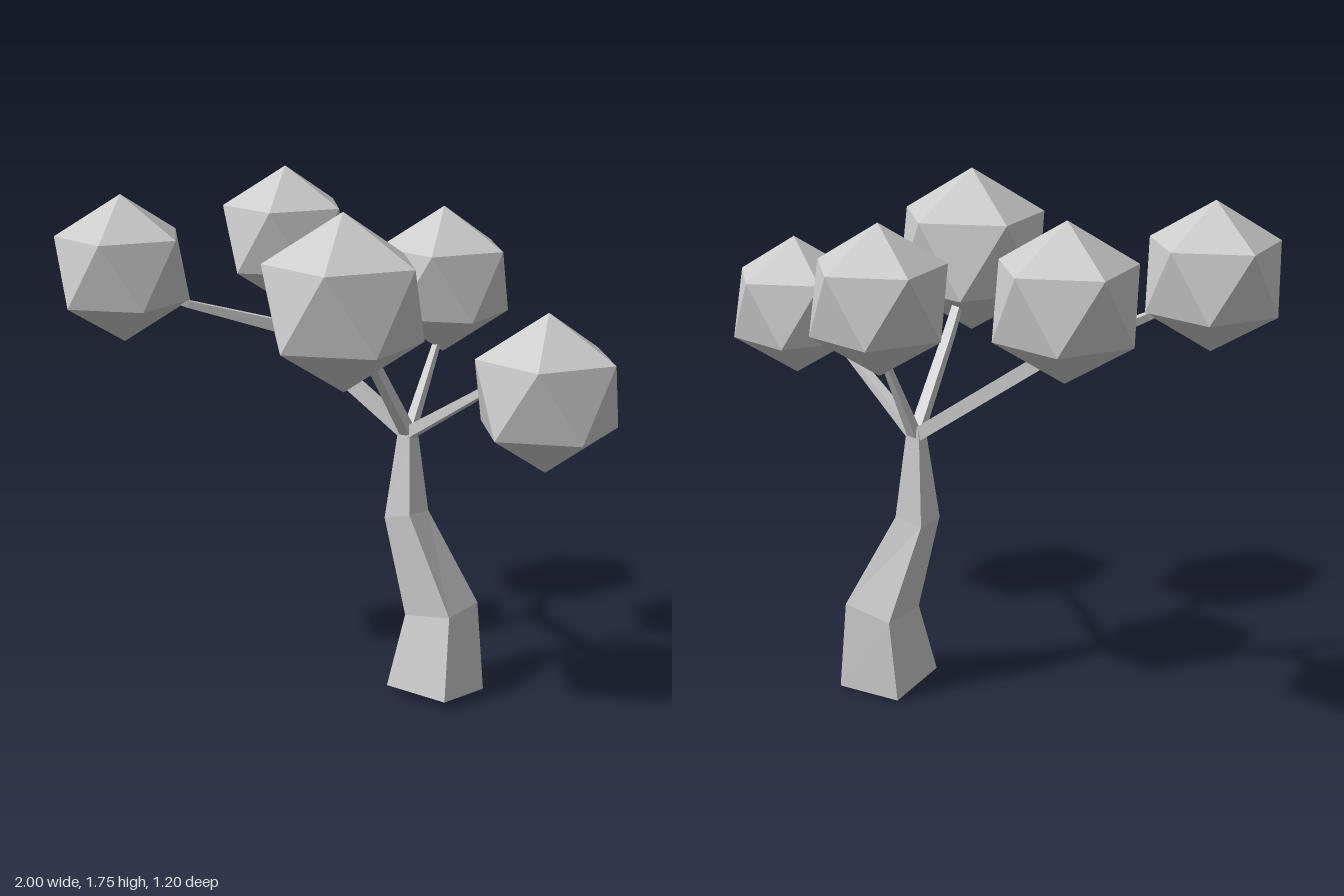
import * as THREE from 'three';

const material = new THREE.MeshStandardMaterial({ color: 0xcccccc, flatShading: true });

// Skin over four-cornered rings (corners counter-clockwise seen from the tip), capped at both ends
function loft(rings) {
  const index = [];
  for (let i = 0; i < rings.length - 1; i++) {
    for (let j = 0; j < 4; j++) {
      const a = i * 4 + j, b = i * 4 + (j + 1) % 4;
      index.push(a, b, b + 4, a, b + 4, a + 4);
    }
  }
  const t = (rings.length - 1) * 4;
  index.push(0, 2, 1, 0, 3, 2, t, t + 1, t + 2, t, t + 2, t + 3);
  const geometry = new THREE.BufferGeometry();
  geometry.setAttribute('position', new THREE.Float32BufferAttribute(rings.flat(2), 3));
  geometry.setIndex(index);
  const flat = geometry.toNonIndexed();
  flat.computeVertexNormals();
  return flat;
}

// Square tapering limb along points [x, y, z, width]
function limb(path) {
  const pts = path.map(p => new THREE.Vector3(p[0], p[1], p[2]));
  const up = new THREE.Vector3(0, 1, 0);
  const rings = pts.map((p, i) => {
    const dir = pts[Math.min(i + 1, pts.length - 1)].clone().sub(pts[Math.max(i - 1, 0)]).normalize();
    const side = dir.clone().cross(up).normalize();
    const normal = dir.clone().cross(side);
    const h = path[i][3] / 2;
    return [[-1, -1], [1, -1], [1, 1], [-1, 1]].map(([s, n]) =>
      p.clone().addScaledVector(side, s * h).addScaledVector(normal, n * h).toArray());
  });
  return loft(rings);
}

export function createModel() {
  const tree = new THREE.Group();
  tree.name = 'tree';
  const add = (name, geometry) => {
    const mesh = new THREE.Mesh(geometry, material);
    mesh.name = name;
    tree.add(mesh);
    return mesh;
  };

  // Crooked trunk: front left, front right, back right, back left corners per ring
  add('trunk', loft([
    [[0.08, 0.035, -0.02], [0.32, 0.03, 0.005], [0.345, 0, -0.235], [0.105, 0.005, -0.26]],
    [[0.12, 0.285, -0.075], [0.30, 0.31, -0.06], [0.315, 0.315, -0.24], [0.135, 0.285, -0.26]],
    [[0.04, 0.625, -0.07], [0.14, 0.65, -0.065], [0.15, 0.64, -0.18], [0.05, 0.62, -0.185]],
    [[0.07, 0.905, -0.1], [0.12, 0.905, -0.098], [0.125, 0.915, -0.15], [0.073, 0.91, -0.152]],
    [[0.075, 0.945, -0.105], [0.12, 0.945, -0.103], [0.12, 0.945, -0.148], [0.077, 0.945, -0.15]],
  ]));

  // Branches reaching into the foliage
  const branches = {
    leftBranch: [[0.1, 0.92, -0.125, 0.045], [-0.37, 1.245, -0.11, 0.045]],
    leftFrontFork: [[-0.35, 1.235, -0.11, 0.045], [-0.6, 1.345, 0.16, 0.024], [-0.67, 1.38, 0.22, 0.02]],
    leftBackFork: [[-0.36, 1.235, -0.1, 0.045], [-0.45, 1.33, -0.22, 0.03], [-0.5, 1.4, -0.3, 0.025]],
    rightBranch: [[0.1, 0.92, -0.125, 0.04], [0.48, 1.155, 0.04, 0.025], [0.68, 1.185, 0.18, 0.02]],
    frontBranch: [[0.1, 0.92, -0.125, 0.04], [0.098, 1.22, 0.12, 0.032], [0.11, 1.36, 0.25, 0.025]],
    backBranch: [[0.1, 0.92, -0.13, 0.035], [0.12, 1.21, -0.29, 0.02], [0.125, 1.32, -0.31, 0.02]],
  };
  for (const [name, path] of Object.entries(branches)) add(name, limb(path));

  // Foliage: icosahedra turned to stand on a vertex, [x, y, z, radius]
  const crown = new THREE.IcosahedronGeometry(1, 0);
  crown.rotateZ(-Math.atan(2 / (1 + Math.sqrt(5))));
  const crowns = {
    leftFrontFoliage: [-0.775, 1.47, 0.285, 0.25],
    leftBackFoliage: [-0.555, 1.505, -0.39, 0.25],
    frontFoliage: [0.135, 1.455, 0.357, 0.285],
    rightFoliage: [0.773, 1.217, 0.22, 0.25],
    backFoliage: [0.127, 1.422, -0.317, 0.25],
  };
  for (const [name, [x, y, z, r]] of Object.entries(crowns)) {
    const mesh = add(name, crown);
    mesh.position.set(x, y, z);
    mesh.scale.setScalar(r);
  }
  return tree;
}
